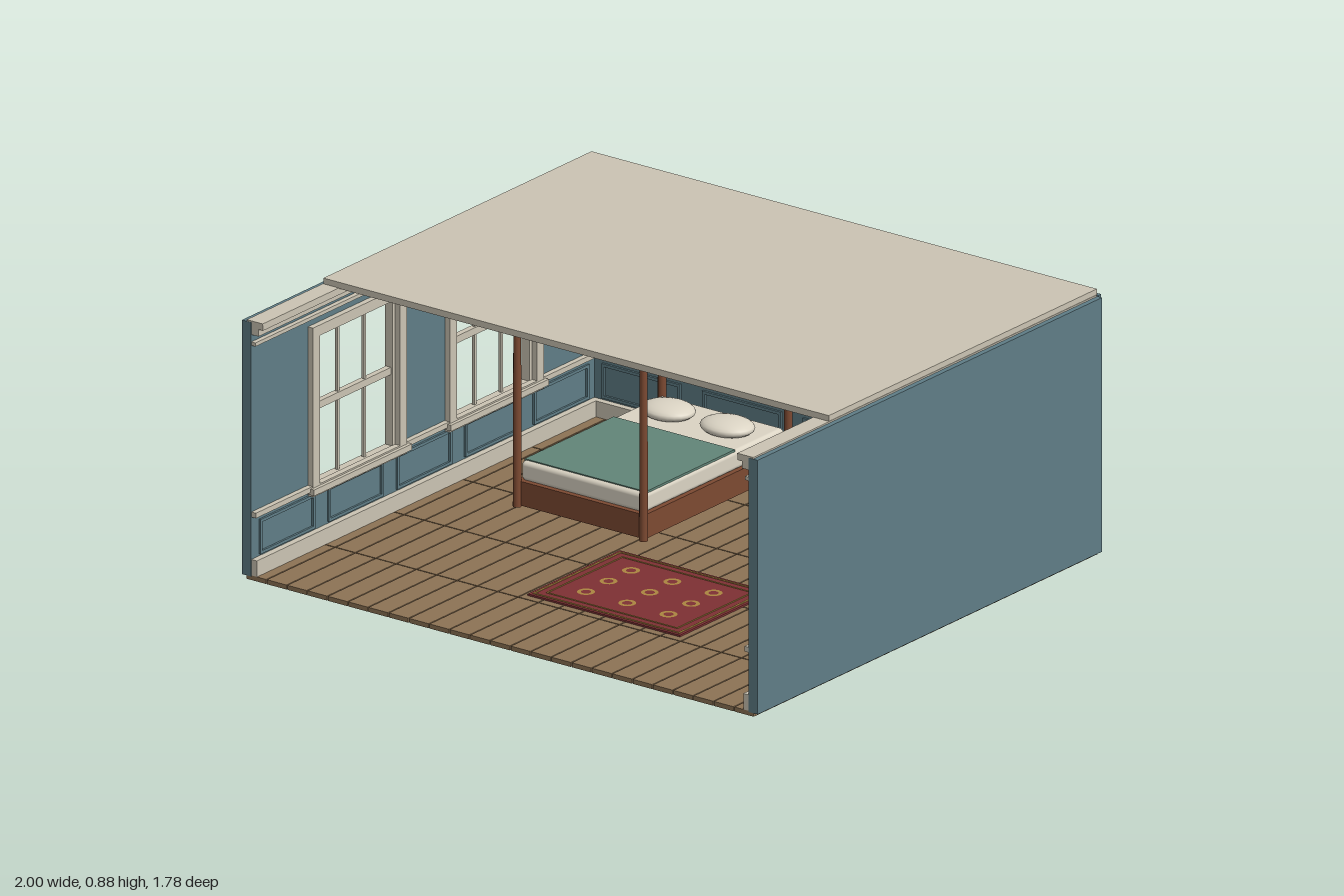
import * as THREE from 'three';
import { RoundedBoxGeometry } from 'three/addons/geometries/RoundedBoxGeometry.js';

const mat = (name, color) => new THREE.MeshStandardMaterial({ name, color });

export function createModel() {
  const wallBlue = mat('wall blue', 0x5f7d86), cream = mat('cream trim', 0xcbc4b3);
  const linen = mat('linen', 0xdbd4c4), oak = mat('oak floor', 0x8d7355);
  const wood = mat('mahogany', 0x7d4a32), gold = mat('gold', 0xab8540);
  const green = mat('blanket green', 0x628578), red = mat('rug red', 0x7e3034);

  const room = new THREE.Group();
  room.name = 'bedroom';
  const group = (name, parent = room) => {
    const g = new THREE.Group();
    g.name = name;
    parent.add(g);
    return g;
  };
  const add = (parent, name, geo, material, x = 0, y = 0, z = 0) => {
    const m = new THREE.Mesh(geo, material);
    m.name = name;
    m.position.set(x, y, z);
    parent.add(m);
    return m;
  };
  // box given by its two extents on every axis
  const box = (parent, name, material, x0, x1, y0, y1, z0, z1) =>
    add(parent, name, new THREE.BoxGeometry(x1 - x0, y1 - y0, z1 - z0), material,
      (x0 + x1) / 2, (y0 + y1) / 2, (z0 + z1) / 2);
  // flat rectangular frame in the xy plane
  const frameGeo = (w, h, t, d) => {
    const rect = (S, a, b) => new S([[-a, -b], [a, -b], [a, b], [-a, b]].map(p => new THREE.Vector2(...p)));
    const s = rect(THREE.Shape, w / 2, h / 2);
    s.holes.push(rect(THREE.Path, w / 2 - t, h / 2 - t));
    return new THREE.ExtrudeGeometry(s, { depth: d, bevelEnabled: false });
  };

  // floor planks with narrow gaps
  const floor = group('floor');
  const cols = 25, rows = 5, pw = 1.97 / cols, pl = 1.76 / rows;
  for (let i = 0; i < cols; i++) for (let j = 0; j < rows; j++) {
    const x = -0.985 + i * pw, z = -0.87 + j * pl;
    box(floor, 'plank', oak, x + 0.002, x + pw - 0.002, 0, 0.015, z + 0.002, z + pl - 0.002);
  }

  // walls
  const walls = group('walls');
  box(walls, 'backWall', wallBlue, -0.98, 0.98, 0.012, 0.853, -0.892, -0.865);
  box(walls, 'leftWall', wallBlue, 0.965, 1, 0.012, 0.853, -0.87, 0.89);
  box(walls, 'lowerWindowWall', wallBlue, -1, -0.965, 0.012, 0.205, -0.87, 0.89);
  box(walls, 'upperWindowWall', wallBlue, -1, -0.965, 0.735, 0.853, -0.87, 0.89);
  for (const [a, b] of [[-0.87, -0.55], [-0.13, 0.15], [0.57, 0.89]])
    box(walls, 'windowPier', wallBlue, -1, -0.965, 0.205, 0.735, a, b);

  // ceiling slab with a moulding beneath
  const ceiling = group('ceiling');
  box(ceiling, 'ceilingSlab', cream, -0.98, 0.98, 0.856, 0.877, -0.87, 0.5);
  const moulding = add(ceiling, 'ceilingMoulding', frameGeo(1.7, 1.14, 0.03, 0.014), gold, 0, 0.856, -0.18);
  moulding.rotation.x = Math.PI / 2;

  // trim runs: bottom, top, projection from the wall
  const trim = group('trim');
  const runs = [
    ['baseboard', 0.015, 0.068, 0.022], ['chairRail', 0.208, 0.225, 0.018],
    ['pictureRail', 0.776, 0.788, 0.016], ['lowerCrown', 0.812, 0.835, 0.028], ['upperCrown', 0.835, 0.857, 0.045],
  ];
  for (const [name, y0, y1, d] of runs) {
    const o = name === 'upperCrown' ? 0.982 : 0.966;
    box(trim, name, cream, -0.965, 0.965, y0, y1, -0.87, -0.865 + d);
    box(trim, name, cream, 0.965 - d, o, y0, y1, -0.865, 0.888);
    box(trim, name, cream, -o, -0.965 + d, y0, y1, -0.865, 0.888);
  }
  box(trim, 'crownCap', cream, 0.92, 0.982, 0.853, 0.858, -0.865, 0.889);
  box(trim, 'crownCap', cream, -0.982, -0.92, 0.853, 0.858, -0.865, 0.889);

  // raised wainscot panel frames
  const wainscot = group('wainscot');
  for (let i = -2; i <= 2; i++) {
    add(wainscot, 'backPanel', frameGeo(0.305, 0.115, 0.01, 0.008), wallBlue, i * 0.39, 0.132, -0.866);
    for (const s of [-1, 1]) {
      const p = add(wainscot, 'sidePanel', frameGeo(0.28, 0.115, 0.01, 0.008), wallBlue, s * 0.966, 0.132, 0.01 + i * 0.35);
      p.rotation.y = -s * Math.PI / 2;
    }
  }

  // two sash windows
  for (const z of [-0.34, 0.36]) {
    const w = group('window');
    w.position.set(-0.982, 0.47, z);
    w.rotation.y = Math.PI / 2;
    add(w, 'casing', frameGeo(0.48, 0.56, 0.035, 0.02), cream, 0, 0, 0.018);
    add(w, 'jamb', frameGeo(0.42, 0.53, 0.018, 0.03), cream, 0, 0, -0.012);
    box(w, 'sill', cream, -0.25, 0.25, -0.27, -0.25, -0.01, 0.05);
    box(w, 'meetingRail', cream, -0.2, 0.2, -0.012, 0.012, -0.008, 0.012);
    for (const x of [-0.068, 0.068]) box(w, 'muntin', cream, x - 0.005, x + 0.005, -0.25, 0.25, -0.004, 0.006);
  }

  // four-poster bed
  const bed = group('bed');
  bed.position.set(-0.34, 0, -0.34);
  box(bed, 'bedFrame', wood, -0.25, 0.25, 0.075, 0.155, -0.37, 0.37);
  add(bed, 'mattress', new RoundedBoxGeometry(0.48, 0.065, 0.72, 3, 0.015), linen, 0, 0.186, 0);
  box(bed, 'blanket', green, -0.235, 0.235, 0.214, 0.222, -0.11, 0.345);
  for (const x of [-0.115, 0.115]) {
    const p = add(bed, 'pillow', new THREE.SphereGeometry(1, 24, 12), linen, x, 0.236, -0.23);
    p.scale.set(0.092, 0.028, 0.075);
  }
  const finial = new THREE.LatheGeometry([[0, 0], [0.014, 0], [0.014, 0.006], [0.022, 0.016], [0.025, 0.028],
    [0.02, 0.042], [0.01, 0.05], [0, 0.053]].map(p => new THREE.Vector2(...p)), 16);
  for (const x of [-0.245, 0.245]) for (const z of [-0.37, 0.37]) {
    add(bed, 'bedPost', new THREE.CylinderGeometry(0.012, 0.014, 0.63, 12), wood, x, 0.385, z);
    add(bed, 'finial', finial, gold, x, 0.733, z);
  }
  const tester = add(bed, 'tester', frameGeo(0.53, 0.78, 0.035, 0.04), wood, 0, 0.735, 0);
  tester.rotation.x = Math.PI / 2;

  // patterned rug
  const rug = group('rug');
  rug.position.set(0.115, 0, 0.275);
  box(rug, 'rugBase', red, -0.295, 0.295, 0.015, 0.021, -0.235, 0.235);
  for (const [w, h, t] of [[0.57, 0.45, 0.007], [0.51, 0.39, 0.005]]) {
    const stripe = add(rug, 'rugBorder', frameGeo(w, h, t, 0.002), gold, 0, 0.023, 0);
    stripe.rotation.x = Math.PI / 2;
  }
  for (let i = -1; i <= 1; i++) for (let j = -1; j <= 1; j++) {
    const r = add(rug, 'rugMedallion', new THREE.RingGeometry(0.016, 0.028, 16), gold, i * 0.16, 0.0225, j * 0.115);
    r.rotation.x = -Math.PI / 2;
  }

  // writing table
  const table = group('table');
  table.position.set(0.57, 0, -0.68);
  box(table, 'tableTop', wood, -0.167, 0.167, 0.166, 0.18, -0.11, 0.11);
  box(table, 'tableApron', wood, -0.148, 0.148, 0.138, 0.166, -0.095, 0.095);
  for (const x of [-0.142, 0.142]) for (const z of [-0.088, 0.088])
    add(table, 'tableLeg', new THREE.CylinderGeometry(0.013, 0.007, 0.14, 4).rotateY(Math.PI / 4), wood, x, 0.085, z);

  // chair facing the table
  const chair = group('chair');
  chair.position.set(0.568, 0, -0.5);
  box(chair, 'seat', wood, -0.062, 0.062, 0.1, 0.114, -0.06, 0.06);
  box(chair, 'seatRail', wood, -0.054, 0.054, 0.088, 0.1, -0.052, 0.052);
  box(chair, 'topRail', wood, -0.058, 0.058, 0.24, 0.264, 0.046, 0.058);
  box(chair, 'lowerRail', wood, -0.055, 0.055, 0.14, 0.15, 0.047, 0.057);
  for (const x of [-0.052, 0.052]) {
    box(chair, 'backPost', wood, x - 0.006, x + 0.006, 0.11, 0.25, 0.046, 0.058);
    for (const z of [-0.05, 0.05])
      add(chair, 'chairLeg', new THREE.CylinderGeometry(0.008, 0.005, 0.09, 8), wood, x, 0.058, z);
  }
  for (const x of [-0.026, 0, 0.026]) box(chair, 'slat', wood, x - 0.005, x + 0.005, 0.145, 0.245, 0.049, 0.055);

  // empty gilded frame on the back wall
  const picture = group('pictureFrame');
  picture.position.set(0.565, 0.5, -0.866);
  add(picture, 'outerFrame', frameGeo(0.29, 0.3, 0.02, 0.025), gold);
  add(picture, 'innerFrame', frameGeo(0.255, 0.265, 0.02, 0.014), gold);

  return room;
}
